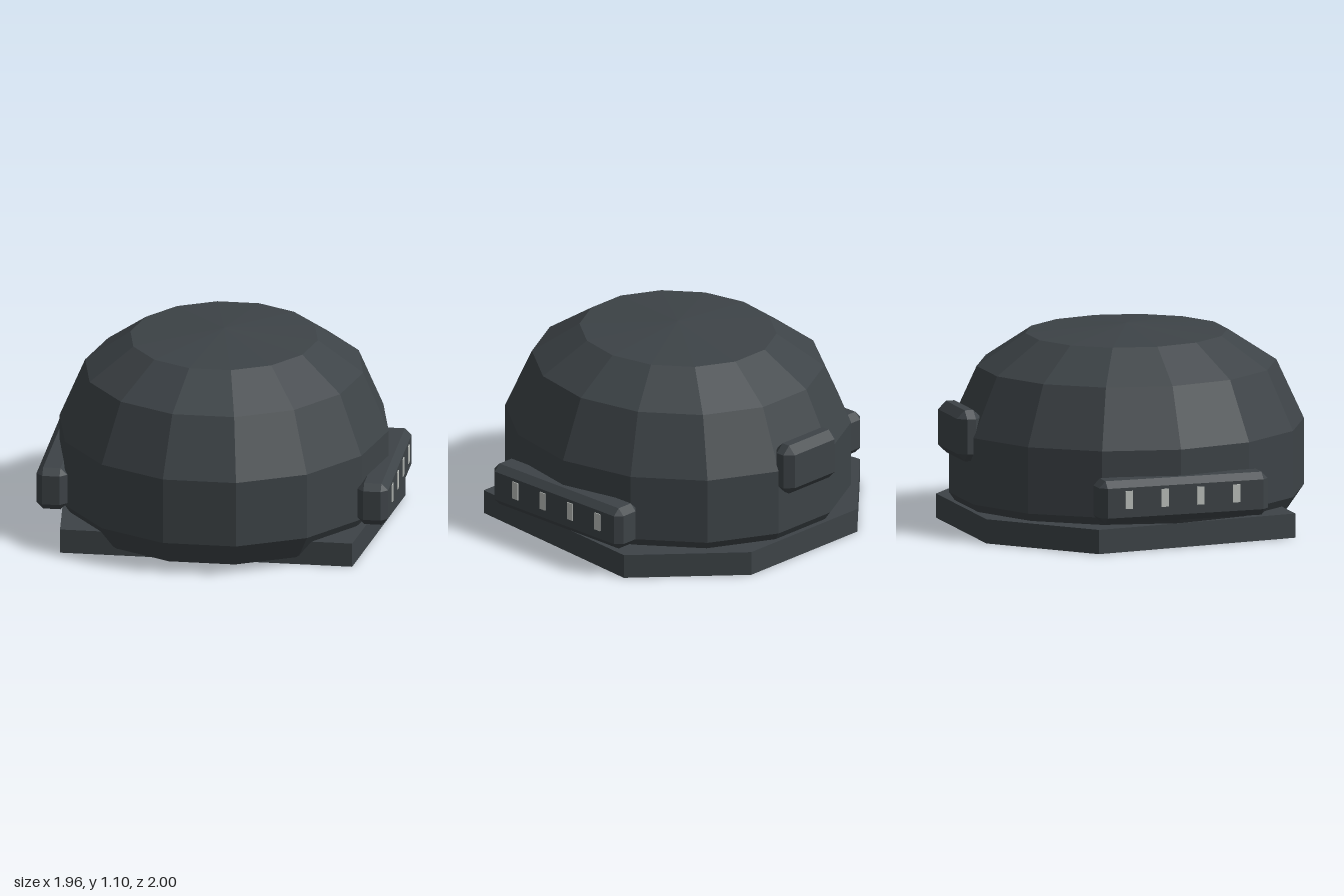
import * as THREE from 'three';
import { ConvexGeometry } from 'three/addons/geometries/ConvexGeometry.js';

const shell = new THREE.MeshStandardMaterial({ color: 0x3d4347 });
shell.name = 'charcoal shell';
shell.flatShading = true;
const light = new THREE.MeshStandardMaterial({ color: 0xbcc0bc });
light.name = 'pale grey light';

// Box with every edge and corner cut off by c
function chamferBox(w, h, d, c) {
  const pts = [];
  for (const sx of [-1, 1]) for (const sy of [-1, 1]) for (const sz of [-1, 1]) {
    const x = w / 2, y = h / 2, z = d / 2;
    for (const [px, py, pz] of [[x, y - c, z - c], [x - c, y, z - c], [x - c, y - c, z]])
      pts.push(new THREE.Vector3(sx * px, sy * py, sz * pz));
  }
  return new ConvexGeometry(pts);
}

function addMesh(parent, name, geometry, material, x = 0, y = 0, z = 0) {
  const mesh = new THREE.Mesh(geometry, material);
  mesh.name = name;
  mesh.position.set(x, y, z);
  parent.add(mesh);
  return mesh;
}

export function createModel() {
  const model = new THREE.Group();
  model.name = 'domedHousing';

  // Fourteen-sided faceted dome, slightly longer than wide
  const profile = [[0, 0.04], [0.9, 0.04], [1, 0.18], [1, 0.55], [0.845, 0.88], [0.57, 1.057], [0, 1.103]];
  const domeGeometry = new THREE.LatheGeometry(
    profile.map(([r, y]) => new THREE.Vector2(r, y)), 14, Math.PI / 14);
  domeGeometry.scale(0.912, 1, 0.985);
  addMesh(model, 'dome', domeGeometry, shell, 0, 0, 0.04);

  // Base plate with angled rear corners
  const outline = [[-0.81, -0.74], [0.81, -0.74], [0.935, 0.445], [0.42, 0.92], [-0.42, 0.92], [-0.935, 0.445]];
  const plate = new THREE.ExtrudeGeometry(
    new THREE.Shape(outline.map(([x, y]) => new THREE.Vector2(x, y))),
    { depth: 0.135, bevelEnabled: false });
  plate.rotateX(-Math.PI / 2);
  addMesh(model, 'basePlate', plate, shell);

  // Side bars, each with a row of four lights
  for (const [side, label] of [[1, 'left'], [-1, 'right']]) {
    const bar = new THREE.Group();
    bar.name = label + 'LightBar';
    addMesh(bar, label + 'Bar', chamferBox(0.17, 0.24, 0.98, 0.037), shell, side * 0.89, 0.285, 0.045);
    for (const z of [0.34, 0.132, -0.076, -0.284])
      addMesh(bar, label + 'Light', new THREE.BoxGeometry(0.009, 0.1, 0.042), light, side * 0.9755, 0.3, z);
    model.add(bar);
  }

  // Rear box
  addMesh(model, 'rearBox', chamferBox(0.405, 0.285, 0.14, 0.045), shell, 0, 0.557, -0.93);

  return model;
}
